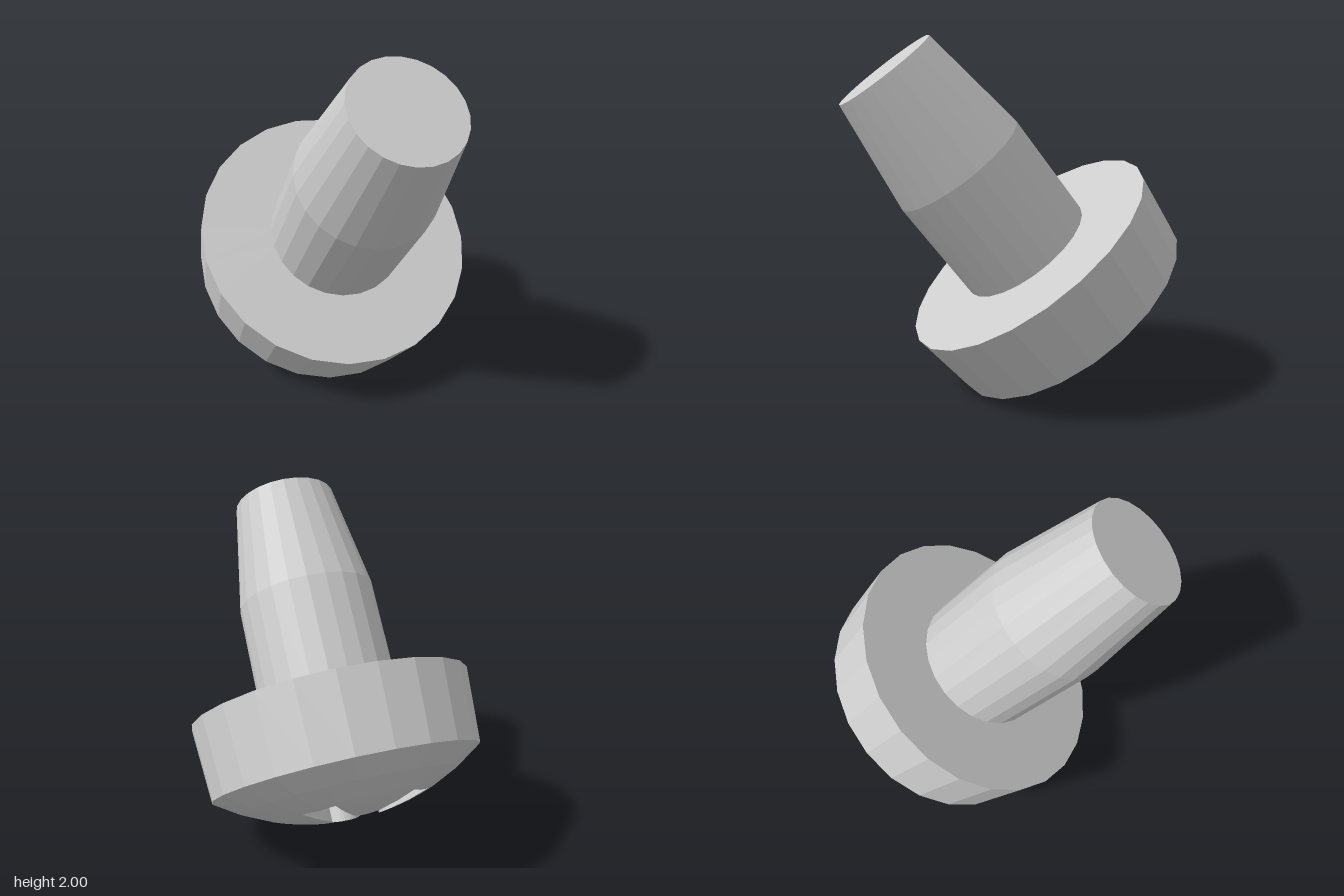
import * as THREE from 'three';

const SIDES = 24;
const RIM = 0.762;      // radius where the domed underside meets the head
const RING = 0.46;      // dome radius around the cross recess
const FLOOR = 0.14;     // height of the recess floor above the dome base

// Height of the spherical dome (pointing to -y) at radius r
const R = 1.3;
const dome = (r) => Math.sqrt(R * R - RIM * RIM) - Math.sqrt(R * R - r * r);

// Outline of the cross recess: four round-nosed lobes between flared arms
function recessOutline() {
  const corner = new THREE.Vector2(0.36, 0.22);
  const centre = 0.245, radius = 0.1, start = 2.245, steps = 10;
  const lobe = [new THREE.Vector2(corner.x, -corner.y)];
  for (let i = 0; i <= steps; i++) {
    const a = -start - (2 * Math.PI - 2 * start) * (i / steps);
    lobe.push(new THREE.Vector2(centre + radius * Math.cos(a), radius * Math.sin(a)));
  }
  lobe.push(corner.clone());
  // halfway points on the straight flanks
  lobe.splice(1, 0, lobe[0].clone().lerp(lobe[1], 0.5));
  lobe.splice(lobe.length - 1, 0, lobe.at(-2).clone().lerp(lobe.at(-1), 0.5));
  lobe.push(new THREE.Vector2(0.29, 0.29)); // middle of the arm end

  const points = [];
  for (let k = 0; k < 4; k++) {
    for (const p of lobe) {
      points.push({ angle: Math.atan2(p.y, p.x) + k * Math.PI / 2, r: p.length() });
    }
  }
  return points;
}

// Inner dome, recess walls and recess floor as successive rings
function recessGeometry() {
  const outline = recessOutline();
  const n = outline.length;
  const rows = [];
  const addRow = (radiusOf, heightOf) => rows.push(outline.map((p) => {
    const r = radiusOf(p);
    return [r * Math.sin(p.angle), heightOf(r), r * Math.cos(p.angle)];
  }));
  for (let i = 0; i <= 4; i++) {
    addRow((p) => THREE.MathUtils.lerp(RING, p.r, i / 4), dome);
  }
  addRow((p) => p.r, () => FLOOR);
  addRow(() => 0, () => FLOOR);

  const index = [];
  for (let i = 0; i < rows.length - 1; i++) {
    for (let j = 0; j < n; j++) {
      const a = i * n + j, b = i * n + (j + 1) % n;
      const c = a + n, d = b + n;
      index.push(a, c, b);
      if (i < rows.length - 2) index.push(b, c, d);
    }
  }
  const geometry = new THREE.BufferGeometry();
  geometry.setAttribute('position', new THREE.Float32BufferAttribute(rows.flat(2), 3));
  geometry.setIndex(index);
  geometry.computeVertexNormals();
  return geometry;
}

export function createModel() {
  const model = new THREE.Group();
  model.name = 'screw';
  const material = new THREE.MeshStandardMaterial({ color: 0xcccccc, flatShading: true });

  const lathe = (name, profile) => {
    const points = profile.map(([r, y]) => new THREE.Vector2(r, y));
    const mesh = new THREE.Mesh(new THREE.LatheGeometry(points, SIDES), material);
    mesh.name = name;
    return mesh;
  };

  // Everything is built upright, then tilted towards the front
  const tilted = new THREE.Group();
  tilted.name = 'tiltedScrew';
  tilted.rotation.x = THREE.MathUtils.degToRad(37.9);
  tilted.position.set(0, 0.47, -0.345);
  model.add(tilted);

  // Head: dome edge, flaring side wall and flat shoulder
  tilted.add(lathe('head', [
    [RING, dome(RING)], [0.615, dome(0.615)], [RIM, 0], [0.8, 0.424], [0.4, 0.424],
  ]));

  // Shaft: straight section, tapered section and flat end
  tilted.add(lathe('shaft', [[0.4, 0.424], [0.4, 1.064], [0.3, 1.709], [0, 1.709]]));

  // Cross recess in the dome
  const recess = new THREE.Mesh(recessGeometry(), material);
  recess.name = 'crossRecess';
  tilted.add(recess);

  return model;
}
